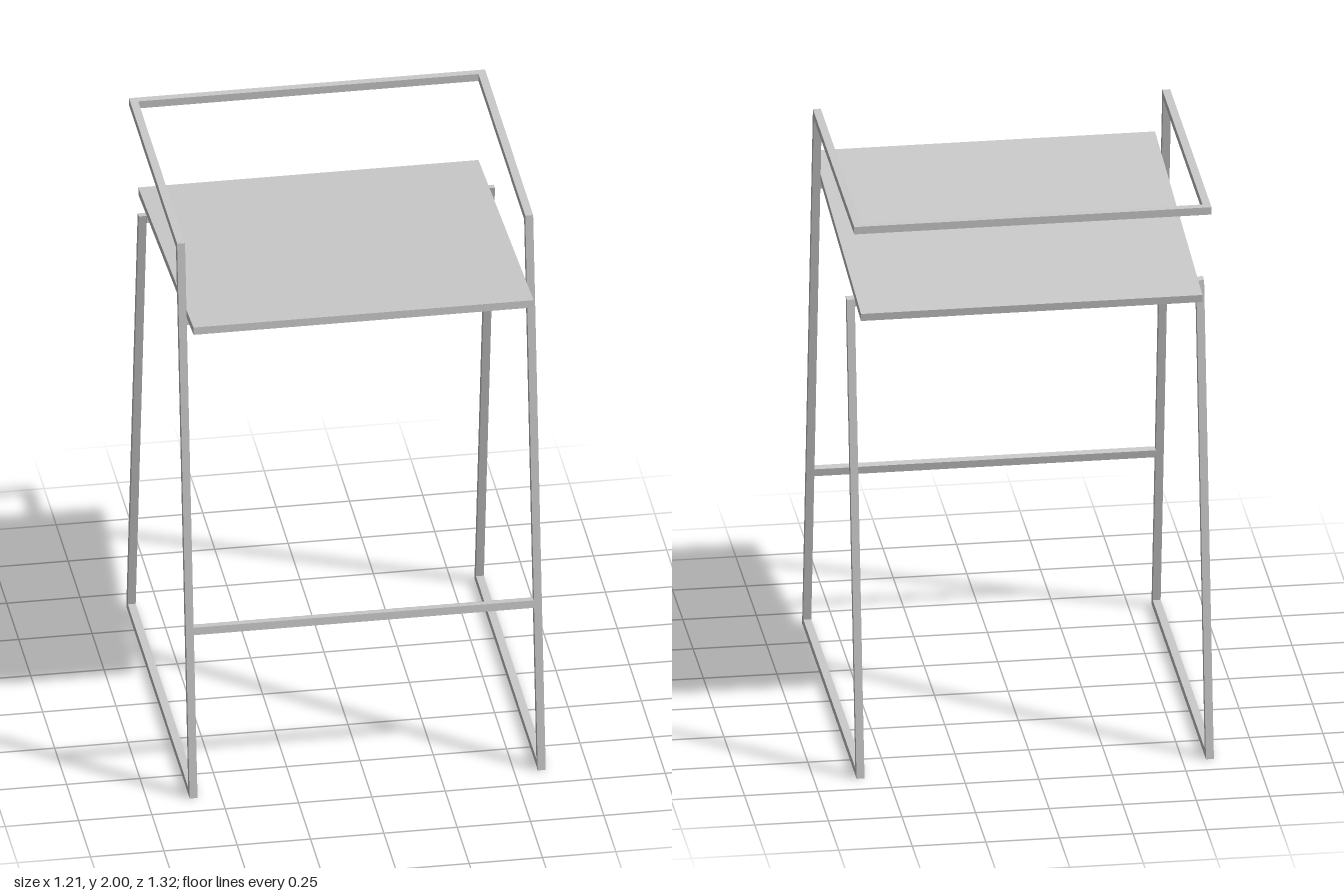
import * as THREE from 'three';

const BAR = 0.027; // square tube thickness
const INNER = 0.58; // half width between the side frames

export function createModel() {
  const group = new THREE.Group();
  const material = new THREE.MeshStandardMaterial({ color: 0xcccccc });

  const add = (name, geometry) => {
    const mesh = new THREE.Mesh(geometry, material);
    mesh.name = name;
    group.add(mesh);
    return mesh;
  };

  // Side frame: armrest, front leg, floor runner and back leg as one bent bar, drawn as (z, y)
  const outline = [
    [-0.605, 2], [0.4, 2], [0.662, 0], [-0.662, 0], [-0.425, 1.655],
    [-0.398, 1.658], [-0.63, BAR], [0.631, BAR], [0.376, 2 - BAR], [-0.605, 2 - BAR],
  ].map(([z, y]) => new THREE.Vector2(z, y));
  const frame = new THREE.ExtrudeGeometry(new THREE.Shape(outline), { depth: BAR, bevelEnabled: false });
  frame.translate(0, 0, -BAR / 2).rotateY(-Math.PI / 2);
  for (const [name, side] of [['leftFrame', 1], ['rightFrame', -1]]) {
    add(name, frame).position.x = side * (INNER + BAR / 2);
  }

  // Seat panel, sloping down to the back
  const seatTilt = Math.atan2(0.104, 1.155);
  const seat = add('seat', new THREE.BoxGeometry(INNER * 2, BAR, 1.157));
  seat.position.set(0, 1.706, 0);
  seat.rotation.x = -seatTilt;

  // Bars joining the two side frames
  const legTilt = Math.atan2(0.262, 2);
  const crossbars = [
    ['backRail', 2 - BAR / 2, -0.605 + BAR / 2, 0],
    ['footrest', 0.598, 0.57, legTilt],
    ['frontSeatSupport', 1.716, 0.423, seatTilt],
    ['backSeatSupport', 1.643, -0.411, seatTilt],
  ];
  for (const [name, y, z, tilt] of crossbars) {
    const bar = add(name, new THREE.BoxGeometry(INNER * 2, BAR, BAR));
    bar.position.set(0, y, z);
    bar.rotation.x = -tilt;
  }

  return group;
}
